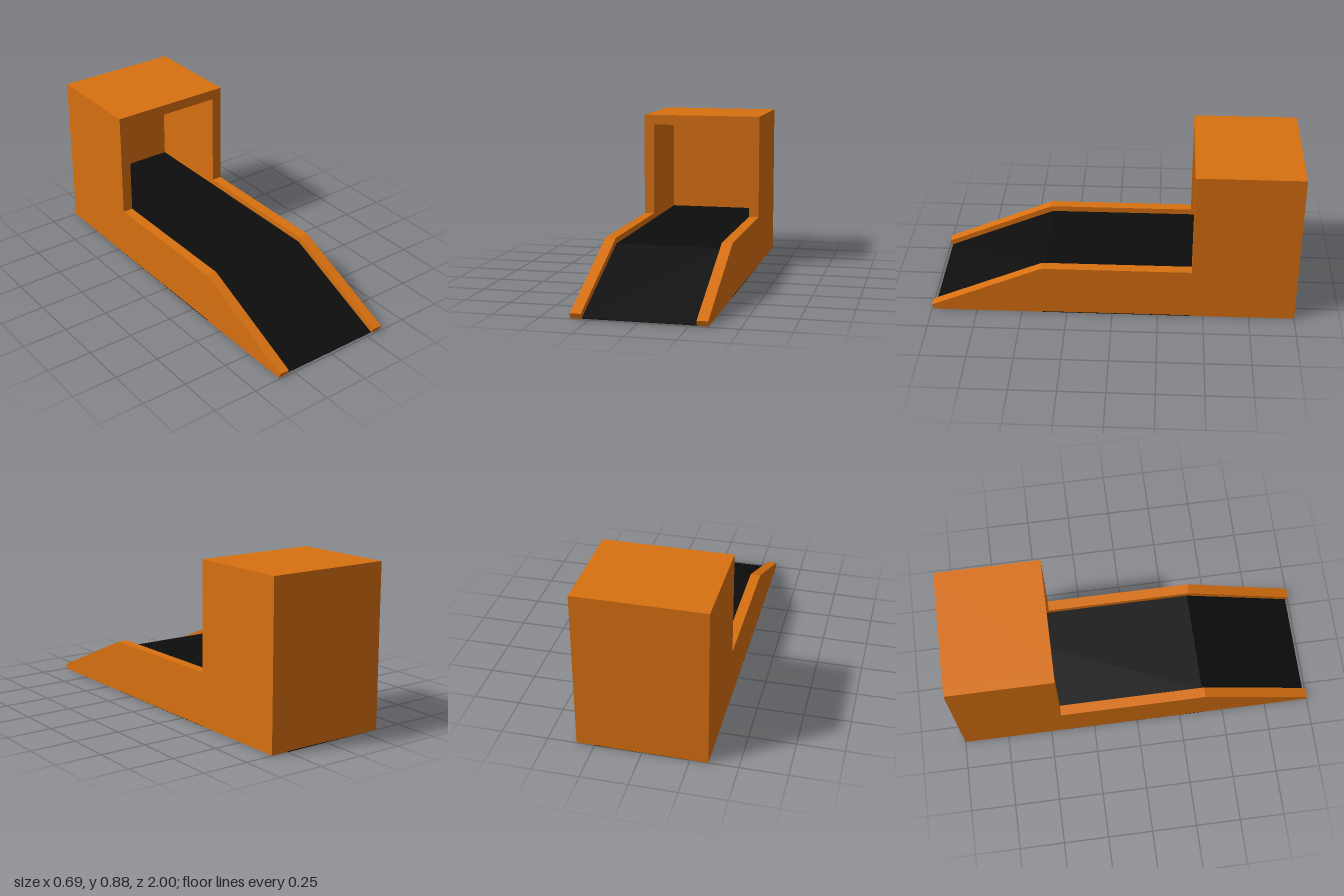
import * as THREE from 'three';

const orange = new THREE.MeshStandardMaterial({ color: 0xd87010, flatShading: true });
const black = new THREE.MeshStandardMaterial({ color: 0x0d0d0d, flatShading: true });

const W = 0.345, T = 0.057, INNER = W - T; // half width, wall thickness, inner half width
const BACK = -1, FACE = -0.43, BEND = 0.385, TOP = 0.88;

// Extrudes a side profile of [z, y] points across x0..x1
function sideExtrude(points, x0, x1) {
  const shape = new THREE.Shape(points.map(([z, y]) => new THREE.Vector2(-z, y)));
  const geo = new THREE.ExtrudeGeometry(shape, { depth: x1 - x0, bevelEnabled: false });
  geo.rotateY(Math.PI / 2);
  return geo.translate(x0, 0, 0);
}

// Extrudes a plan outline of [x, z] points into a thin plate just at ground level
function groundPlate(points) {
  const shape = new THREE.Shape(points.map(([x, z]) => new THREE.Vector2(x, -z)));
  const geo = new THREE.ExtrudeGeometry(shape, { depth: 0.004, bevelEnabled: false });
  geo.rotateX(-Math.PI / 2);
  return geo.translate(0, -0.001, 0);
}

export function createModel() {
  const group = new THREE.Group();
  const add = (name, geo, mat) => {
    const mesh = new THREE.Mesh(geo, mat);
    mesh.name = name;
    group.add(mesh);
  };

  // Side walls: tall hood at the back, low rail, sloping nose
  const wall = [[BACK, 0], [0.99, 0], [1, 0.028], [BEND, 0.29], [FACE, 0.29], [FACE, TOP], [BACK, TOP]];
  add('leftWall', sideExtrude(wall, INNER, W), orange);
  add('rightWall', sideExtrude(wall, -W, -INNER), orange);

  // Hood roof and back wall, closing the tunnel
  const roof = new THREE.BoxGeometry(2 * INNER, T, FACE - BACK);
  add('hoodRoof', roof.translate(0, TOP - T / 2, (FACE + BACK) / 2), orange);
  const back = new THREE.BoxGeometry(2 * INNER, TOP - T, T);
  add('hoodBack', back.translate(0, (TOP - T) / 2, BACK + T / 2), orange);

  // Belt deck: flat run then ramp down to the ground
  const deck = [[BACK + T, 0], [0.985, 0], [0.985, 0.003], [BEND - 0.01, 0.258], [BACK + T, 0.258]];
  add('beltDeck', sideExtrude(deck, -INNER, INNER), black);

  // Underside: dark base narrowing below the hood, and the ramp bottom
  const n = 0.25;
  add('base', groundPlate([
    [-n, BACK], [-n, FACE], [-W, FACE], [-W, BEND], [W, BEND], [W, FACE], [n, FACE], [n, BACK],
  ]), black);
  add('rampBottom', groundPlate([[-INNER, BEND], [-INNER, 0.984], [INNER, 0.984], [INNER, BEND]]).scale(1, 0.5, 1), orange);

  return group;
}
